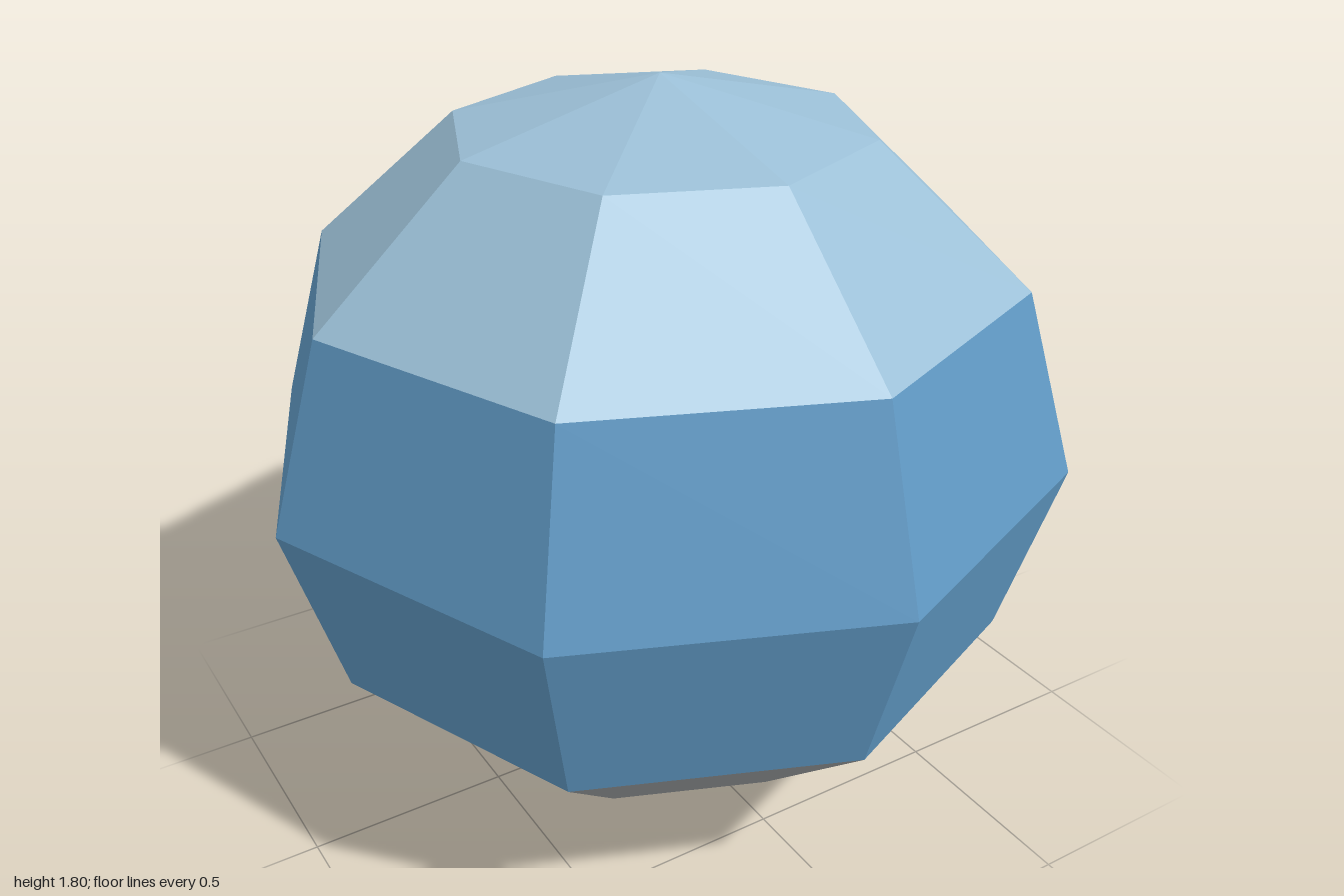
import * as THREE from 'three';

const SIDES = 8;
const RINGS = 6;
const SQUASH = 0.9;

function flatMaterial(name, color) {
  const material = new THREE.MeshStandardMaterial({ color, flatShading: true });
  material.name = name;
  return material;
}

// A horizontal band of a faceted, slightly squashed ball, counted in rings from the top
function band(name, firstRing, ringCount, material) {
  const step = Math.PI / RINGS;
  const geometry = new THREE.SphereGeometry(
    1, SIDES, ringCount, 0, Math.PI * 2, firstRing * step, ringCount * step);
  geometry.scale(1, SQUASH, 1);
  geometry.translate(0, SQUASH, 0);
  const mesh = new THREE.Mesh(geometry, material);
  mesh.name = name;
  return mesh;
}

export function createModel() {
  const group = new THREE.Group();
  group.name = 'facetedBall';
  group.add(
    band('topCap', 0, 2, flatMaterial('pale blue', 0x9bbfd6)),
    band('middleBand', 2, 2, flatMaterial('blue', 0x629cc8)),
    band('bottomCap', 4, 2, flatMaterial('grey', 0xa5a8aa)),
  );
  return group;
}
